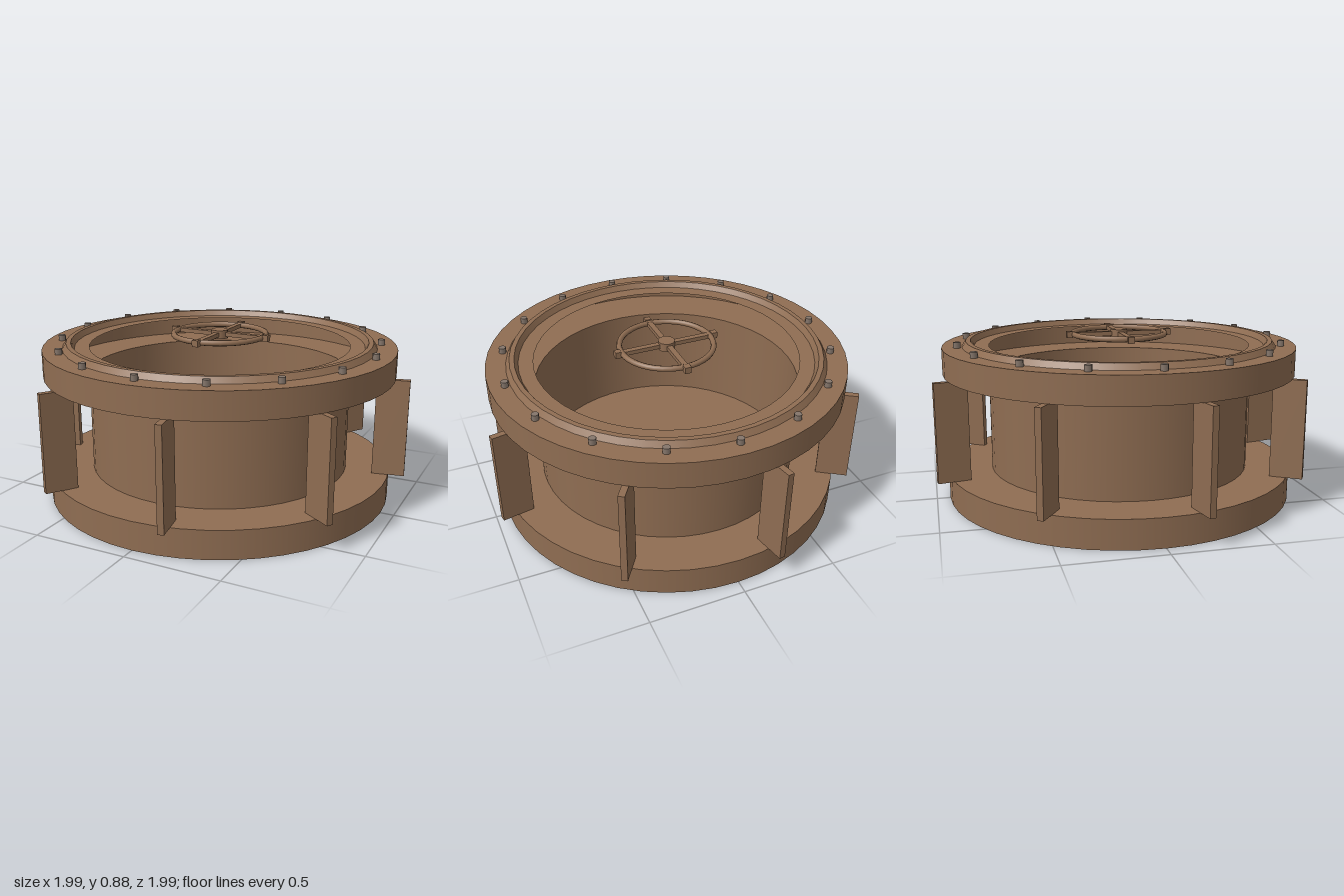
import * as THREE from 'three';

const SEG = 48;

export function createModel() {
  const bronze = new THREE.MeshStandardMaterial({ color: 0x8f6d52, side: THREE.DoubleSide });
  bronze.name = 'bronze';
  const boltGrey = new THREE.MeshStandardMaterial({ color: 0x85766b });
  boltGrey.name = 'boltGrey';

  const model = new THREE.Group();
  model.name = 'roundHatch';

  const add = (name, geometry, material = bronze, parent = model) => {
    const mesh = new THREE.Mesh(geometry, material);
    mesh.name = name;
    parent.add(mesh);
    return mesh;
  };
  // Sharp-edged body of revolution from [radius, height] points
  const band = (name, points) => {
    for (let i = 0; i < points.length - 1; i++) {
      const pair = [points[i], points[i + 1]].map(([r, y]) => new THREE.Vector2(r, y));
      add(name, new THREE.LatheGeometry(pair, SEG));
    }
  };

  // Solid base disc
  add('base', new THREE.CylinderGeometry(0.93, 0.93, 0.15, SEG)).position.y = 0.075;

  // Open inner wall between base and rim
  add('innerWall', new THREE.CylinderGeometry(0.7, 0.7, 0.52, SEG, 1, true)).position.y = 0.41;

  // Hollow rim: floor, outer skin and top, open towards the middle
  band('rim', [[0.7, 0.67], [0.94, 0.67], [0.94, 0.81], [0.695, 0.81]]);

  // Bevelled sealing ring on top of the rim
  band('sealRing', [[0.835, 0.81], [0.815, 0.84], [0.79, 0.84], [0.772, 0.81]]);

  // Radial fins around the wall
  const finGeometry = new THREE.BoxGeometry(0.17, 0.52, 0.033);
  finGeometry.translate(0.928, 0.41, 0);
  for (let i = 0; i < 8; i++) {
    add('fin', finGeometry).rotation.y = Math.PI / 16 + i * Math.PI / 4;
  }

  // Bolts around the rim
  const boltGeometry = new THREE.CylinderGeometry(0.019, 0.019, 0.03, 8);
  for (let i = 0; i < 16; i++) {
    const a = i * Math.PI / 8;
    add('bolt', boltGeometry, boltGrey).position.set(0.86 * Math.cos(a), 0.825, 0.86 * Math.sin(a));
  }

  // Hand wheel: ring, hub, crossed spokes and end grips
  const wheel = new THREE.Group();
  wheel.name = 'handWheel';
  wheel.position.y = 0.86;
  model.add(wheel);
  add('wheelRing', new THREE.TorusGeometry(0.247, 0.015, 8, 40), bronze, wheel).rotation.x = Math.PI / 2;
  add('hub', new THREE.CylinderGeometry(0.045, 0.045, 0.045, 12), bronze, wheel);
  for (let i = 0; i < 4; i++) {
    const arm = new THREE.Group();
    arm.name = 'wheelArm';
    arm.rotation.y = i * Math.PI / 2;
    wheel.add(arm);
    add('spoke', new THREE.BoxGeometry(0.25, 0.022, 0.03), bronze, arm).position.x = 0.125;
    add('grip', new THREE.BoxGeometry(0.032, 0.034, 0.034), bronze, arm).position.x = 0.27;
  }

  return model;
}
